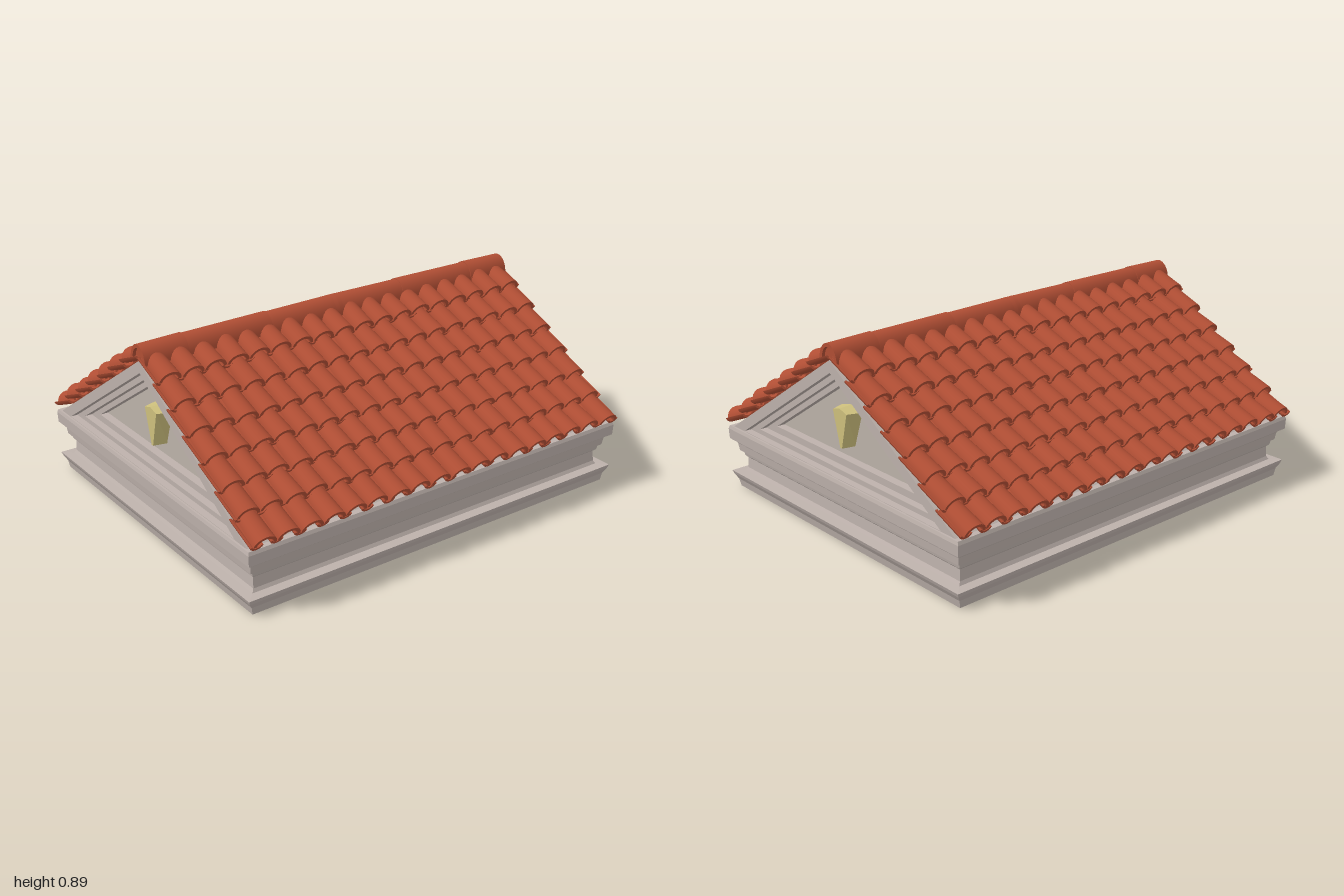
import * as THREE from 'three';
import { mergeGeometries, toCreasedNormals } from 'three/addons/utils/BufferGeometryUtils.js';

const stone = new THREE.MeshStandardMaterial({ name: 'stone', color: 0xbdb1ab });
const plaster = new THREE.MeshStandardMaterial({ name: 'plaster', color: 0xbcb2a9 });
const terracotta = new THREE.MeshStandardMaterial({ name: 'terracotta', color: 0xb04e34 });
const gold = new THREE.MeshStandardMaterial({ name: 'gold', color: 0xcdbf7c });

let seed = 7;
const jitter = (amount) => {
  seed = (seed * 16807) % 2147483647;
  return (seed / 2147483647 - 0.5) * 2 * amount;
};

function addMesh(parent, name, geometry, material) {
  const mesh = new THREE.Mesh(geometry, material);
  mesh.name = name;
  parent.add(mesh);
  return mesh;
}

// Rectangular moulding lofted through levels of [y, half width x, half depth z]
function moulding(levels) {
  const pos = [];
  const ring = ([y, x, z]) => [[x, y, z], [x, y, -z], [-x, y, -z], [-x, y, z]];
  const quad = (a, b, c, d) => pos.push(...a, ...b, ...c, ...a, ...c, ...d);
  for (let i = 0; i < levels.length - 1; i++) {
    const lo = ring(levels[i]), hi = ring(levels[i + 1]);
    for (let k = 0; k < 4; k++) {
      const n = (k + 1) % 4;
      quad(lo[k], lo[n], hi[n], hi[k]);
    }
  }
  const [a, b, c, d] = ring(levels[0]);
  quad(a, d, c, b);
  quad(...ring(levels[levels.length - 1]));
  const g = new THREE.BufferGeometry();
  g.setAttribute('position', new THREE.Float32BufferAttribute(pos, 3));
  g.computeVertexNormals();
  return g;
}

// Isosceles triangle path: half base, base height, apex height
const triangle = (half, base, apex, Type = THREE.Shape) =>
  new Type([[-half, base], [half, base], [0, apex]].map(([u, v]) => new THREE.Vector2(u, v)));

// Extrudes a shape along x, from x0 to x1
function extrudeX(shape, x0, x1) {
  const g = new THREE.ExtrudeGeometry(shape, { depth: x1 - x0, bevelEnabled: false });
  return g.translate(0, 0, x0).rotateY(Math.PI / 2);
}

// Curved tile: an arch (or trough, if rise < 0) with thickness, its low end at z = 0
function archTile(half, rise, thick, length, taper, steps = 10) {
  const pts = [];
  for (let i = 0; i <= steps; i++) {
    const a = (i / steps) * Math.PI;
    pts.push(new THREE.Vector2(Math.cos(a) * half, Math.sin(a) * rise));
  }
  const innerRise = rise > 0 ? rise - thick : rise + thick;
  for (let i = steps; i >= 0; i--) {
    const a = (i / steps) * Math.PI;
    pts.push(new THREE.Vector2(Math.cos(a) * (half - thick), Math.sin(a) * innerRise));
  }
  const g = new THREE.ExtrudeGeometry(new THREE.Shape(pts), { depth: length, bevelEnabled: false });
  g.translate(0, 0, -length);
  const p = g.attributes.position;
  for (let i = 0; i < p.count; i++) {
    const s = 1 + (taper - 1) * (-p.getZ(i) / length);
    p.setXY(i, p.getX(i) * s, p.getY(i) * s);
  }
  return toCreasedNormals(g, 0.7);
}

// One roof slope: overlapping rows of cover tiles with trough tiles between
function slopeGeometry() {
  const cover = archTile(0.053, 0.047, 0.014, 0.16, 0.84);
  const trough = archTile(0.03, -0.022, 0.01, 0.16, 1, 6);
  const parts = [];
  const columns = 18, pitch = 0.1094;
  for (let row = 0; row < 7; row++) {
    const z = 0.835 - 0.113 * row, y = 0.322 + 0.0745 * row;
    const place = (tile, x, lift, wobble) => parts.push(tile.clone()
      .rotateY(jitter(wobble))
      .rotateX(0.4 + jitter(wobble))
      .translate(x, y + lift, z + jitter(0.006)));
    for (let i = 0; i < columns; i++) {
      place(cover, (i - (columns - 1) / 2) * pitch, 0, 0.025);
    }
    for (let i = 0; i <= columns; i++) {
      const x = (i - columns / 2) * pitch;
      place(trough, THREE.MathUtils.clamp(x, -0.968, 0.968), 0.006, 0);
    }
  }
  return mergeGeometries(parts);
}

// Wedge ornament: broad arched top, pointed foot, bevelled face
function keystoneGeometry() {
  const back = [[-0.072, 0.582], [0, 0.6], [0.072, 0.582], [0.012, 0.415], [-0.012, 0.415]];
  const front = [[-0.048, 0.583], [0, 0.597], [0.048, 0.583], [0.006, 0.42], [-0.006, 0.42]];
  const pos = [];
  const b = back.map(([u, v]) => [0.875, v, u]);
  const f = front.map(([u, v]) => [0.945, v, u]);
  for (let i = 0; i < 5; i++) {
    const n = (i + 1) % 5;
    pos.push(...b[i], ...b[n], ...f[n], ...b[i], ...f[n], ...f[i]);
  }
  for (let i = 1; i < 4; i++) pos.push(...f[0], ...f[i], ...f[i + 1]);
  const g = new THREE.BufferGeometry();
  g.setAttribute('position', new THREE.Float32BufferAttribute(pos, 3));
  g.computeVertexNormals();
  return g;
}

export function createModel() {
  const model = new THREE.Group();
  model.name = 'tiledRoof';

  // Stepped base mouldings
  addMesh(model, 'entablature', moulding([
    [0, 0.968, 0.79], [0.035, 0.975, 0.795], [0.06, 0.99, 0.807], [0.078, 0.997, 0.812],
    [0.08, 0.952, 0.768], [0.095, 0.943, 0.76], [0.145, 0.94, 0.757], [0.155, 0.95, 0.768],
    [0.175, 0.954, 0.772], [0.18, 0.968, 0.782], [0.215, 0.972, 0.788], [0.232, 0.98, 0.798],
    [0.236, 0.996, 0.816], [0.285, 0.998, 0.818], [0.3, 0.994, 0.812],
  ]), stone);

  // Solid core under the roof
  addMesh(model, 'gableCore', extrudeX(triangle(0.8, 0.29, 0.812), -0.87, 0.87), stone);

  // Gable ends: three nested frames stepping in to the wall panel
  const frames = [
    { outer: [0.805, 0.288, 0.817], hole: [0.7, 0.302, 0.762], x: 0.985 },
    { outer: [0.715, 0.296, 0.77], hole: [0.62, 0.325, 0.732], x: 0.952 },
    { outer: [0.63, 0.32, 0.738], hole: [0.53, 0.357, 0.703], x: 0.918 },
  ];
  for (const [side, turn] of [['left', 0], ['right', Math.PI]]) {
    const gable = new THREE.Group();
    gable.name = side + 'Gable';
    gable.rotation.y = turn;
    frames.forEach(({ outer, hole, x }, i) => {
      const shape = triangle(...outer);
      shape.holes.push(triangle(...hole, THREE.Path));
      addMesh(gable, 'gableFrame' + (i + 1), extrudeX(shape, 0.86, x), stone);
    });
    addMesh(gable, 'wallPanel', extrudeX(triangle(0.56, 0.345, 0.715), 0.872, 0.88), plaster);
    addMesh(gable, 'keystone', keystoneGeometry(), gold);
    model.add(gable);
  }

  // Tiled slopes
  addMesh(model, 'frontRoofTiles', slopeGeometry(), terracotta);
  addMesh(model, 'backRoofTiles', slopeGeometry(), terracotta).rotation.y = Math.PI;

  // Ridge tiles, alternating in height where they overlap
  const ridge = new THREE.Group();
  ridge.name = 'ridge';
  const joints = [-0.99, -0.78, -0.38, 0, 0.38, 0.77, 0.99];
  for (let i = 0; i < joints.length - 1; i++) {
    const outward = joints[i] + joints[i + 1] > 0 ? 1 : -1;
    const length = joints[i + 1] - joints[i] + (i === 0 || i === 5 ? 0 : 0.02);
    const tile = addMesh(ridge, 'ridgeTile', archTile(0.06, 0.078, 0.016, length, 1.05, 16), terracotta);
    tile.rotation.y = outward * Math.PI / 2;
    tile.position.set(outward > 0 ? joints[i + 1] : joints[i], 0.812, 0);
  }
  const core = new THREE.CylinderGeometry(0.042, 0.042, 1.95, 20).rotateZ(Math.PI / 2);
  addMesh(ridge, 'ridgeCore', core, terracotta).position.y = 0.828;
  model.add(ridge);

  return model;
}
